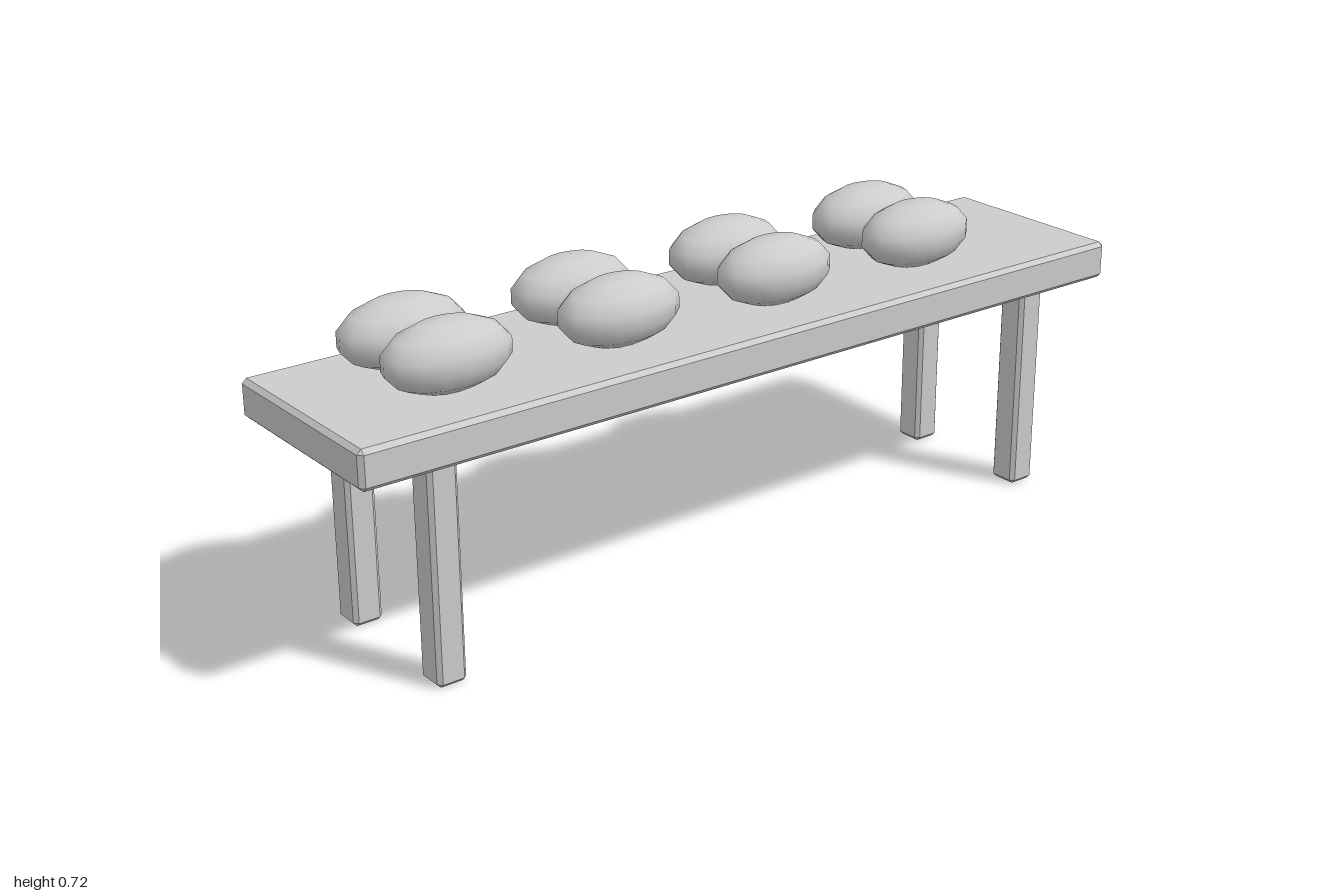
import * as THREE from 'three';
import { ConvexGeometry } from 'three/addons/geometries/ConvexGeometry.js';

// Box with every edge cut at 45 degrees
function chamferedBox(w, h, d, c) {
  const points = [];
  for (const x of [-1, 1]) for (const y of [-1, 1]) for (const z of [-1, 1]) {
    for (let axis = 0; axis < 3; axis++) {
      const inset = [c, c, c];
      inset[axis] = 0;
      points.push(new THREE.Vector3(
        x * (w / 2 - inset[0]), y * (h / 2 - inset[1]), z * (d / 2 - inset[2])));
    }
  }
  return new ConvexGeometry(points);
}

export function createModel() {
  const model = new THREE.Group();
  model.name = 'benchWithLoaves';
  const grey = new THREE.MeshStandardMaterial({ color: 0xcccccc });
  grey.name = 'lightGrey';

  const add = (name, geometry, x, y, z) => {
    const mesh = new THREE.Mesh(geometry, grey);
    mesh.name = name;
    mesh.position.set(x, y, z);
    model.add(mesh);
  };

  // Bench top
  add('benchTop', chamferedBox(2, 0.087, 0.472, 0.01), 0, 0.5295, 0);

  // Four legs, running slightly into the top
  const leg = chamferedBox(0.068, 0.5, 0.071, 0.009);
  for (const [side, sx] of [['Left', 1], ['Right', -1]])
    for (const [end, sz] of [['front', 1], ['back', -1]])
      add(end + side + 'Leg', leg, sx * 0.801, 0.25, sz * 0.1655);

  // Two rows of oval loaves, smooth with few rings
  const loaf = new THREE.SphereGeometry(1, 16, 7).scale(0.146, 0.076, 0.0895);
  for (const [row, z] of [['front', 0.058], ['back', -0.113]])
    for (let i = 0; i < 4; i++)
      add(row + 'Loaf' + (i + 1), loaf, -0.696 + i * 0.4165, 0.64, z);

  return model;
}
